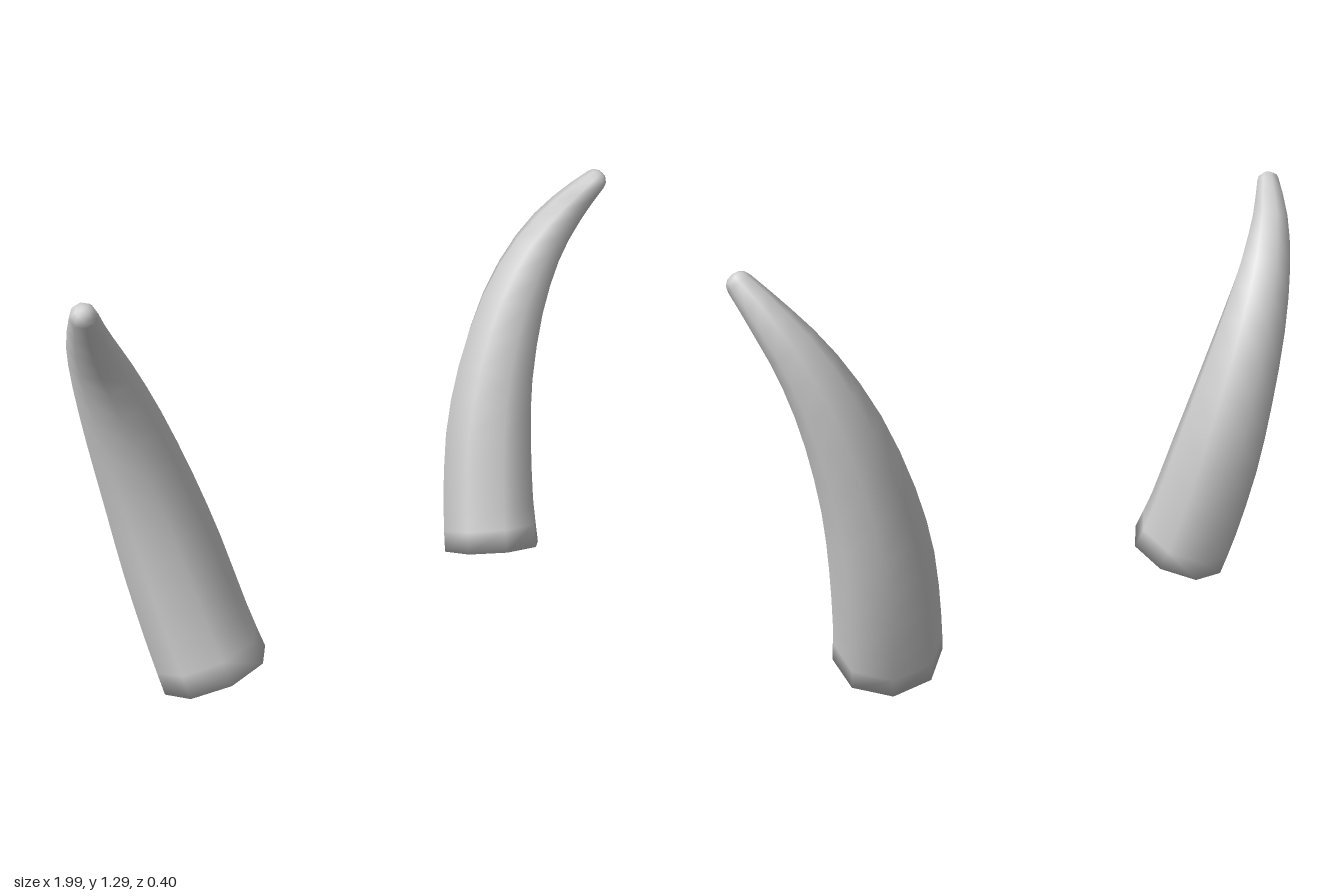
import * as THREE from 'three';

const SIDES = 8;
const SEGMENTS = 14;
const PHASE = THREE.MathUtils.degToRad(26);

// Centre line of the left horn (x, y, z) and its radius at each point
const STATIONS = [
  [0.58, 0.058, 0.05, 0.164],
  [0.605, 0.2, 0.004, 0.158],
  [0.645, 0.42, -0.045, 0.15],
  [0.695, 0.63, -0.07, 0.133],
  [0.765, 0.85, -0.072, 0.11],
  [0.84, 1.03, -0.043, 0.084],
  [0.908, 1.16, 0.012, 0.06],
  [0.962, 1.262, 0.082, 0.037],
];

// Swept octagonal horn with a closed base and a rounded tip; side is 1 or -1
function hornGeometry(side) {
  const path = new THREE.CatmullRomCurve3(
    STATIONS.map(([x, y, z]) => new THREE.Vector3(x, y, z)), false, 'catmullrom');
  const girth = new THREE.CatmullRomCurve3(
    STATIONS.map((s) => new THREE.Vector3(s[3], 0, 0)), false, 'catmullrom');

  const rings = [];
  for (let i = 0; i <= SEGMENTS; i++) {
    const t = i / SEGMENTS;
    rings.push({ c: path.getPoint(t), dir: path.getTangent(t), r: girth.getPoint(t).x });
  }
  // Rounded tip
  const end = rings[SEGMENTS];
  const along = (d) => end.c.clone().addScaledVector(end.dir, d);
  rings.push({ c: along(0.016), dir: end.dir, r: 0.031 });
  rings.push({ c: along(0.026), dir: end.dir, r: 0.018 });

  const positions = [];
  const index = [];
  const addPoint = (p) => positions.push(p.x * side, p.y, p.z);
  const addFace = (a, b, c) => (side > 0 ? index.push(a, b, c) : index.push(a, c, b));

  for (const { c, dir, r } of rings) {
    const u = new THREE.Vector3(1, 0, 0).addScaledVector(dir, -dir.x).normalize();
    const w = u.clone().cross(dir);
    for (let j = 0; j < SIDES; j++) {
      const a = PHASE + (j / SIDES) * Math.PI * 2;
      addPoint(c.clone().addScaledVector(u, r * Math.cos(a)).addScaledVector(w, r * Math.sin(a)));
    }
  }
  const base = rings.length * SIDES;
  const tip = base + 1;
  addPoint(rings[0].c);
  addPoint(along(0.03));

  const last = (rings.length - 1) * SIDES;
  for (let j = 0; j < SIDES; j++) {
    const k = (j + 1) % SIDES;
    for (let row = 0; row < last; row += SIDES) {
      addFace(row + k, row + j, row + SIDES + j);
      addFace(row + k, row + SIDES + j, row + SIDES + k);
    }
    addFace(base, j, k);
    addFace(tip, last + k, last + j);
  }

  const geometry = new THREE.BufferGeometry();
  geometry.setAttribute('position', new THREE.Float32BufferAttribute(positions, 3));
  geometry.setIndex(index);
  geometry.computeVertexNormals();
  return geometry;
}

export function createModel() {
  const group = new THREE.Group();
  group.name = 'hornPair';
  const horn = new THREE.MeshStandardMaterial({ color: 0xcccccc });
  horn.name = 'paleGrey';

  for (const [name, side] of [['leftHorn', 1], ['rightHorn', -1]]) {
    const mesh = new THREE.Mesh(hornGeometry(side), horn);
    mesh.name = name;
    group.add(mesh);
  }
  return group;
}
